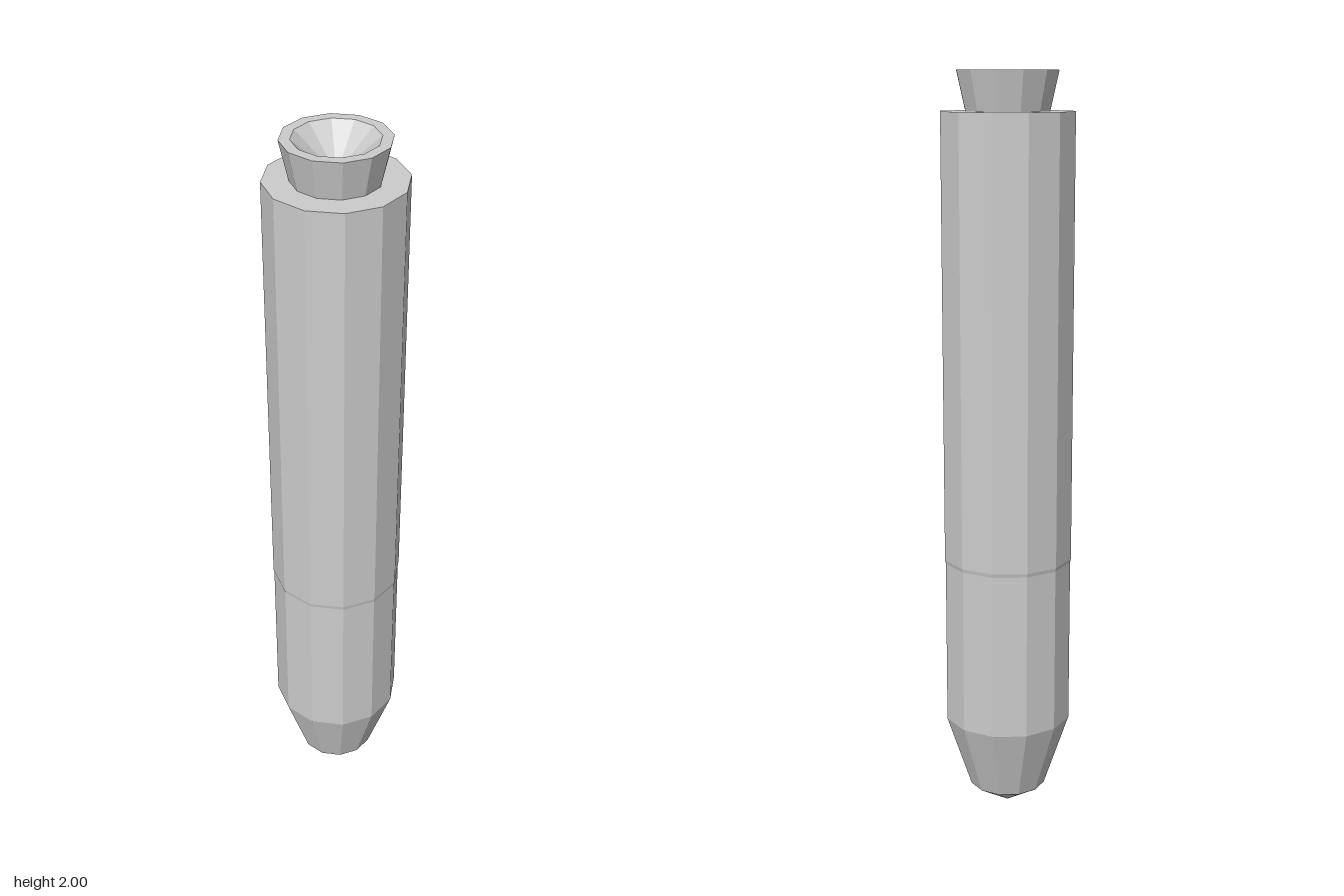
import * as THREE from 'three';

const SIDES = 12;
// profile radii are measured to the middle of a flat side
const TO_CORNER = 1 / Math.cos(Math.PI / SIDES);

const material = new THREE.MeshStandardMaterial({ color: 0xcccccc, flatShading: true });

// Faceted turned part from [radius, height] pairs, listed bottom to top on the outside
function turned(name, profile) {
  const points = profile.map(([r, y]) => new THREE.Vector2(r * TO_CORNER, y));
  const geometry = new THREE.LatheGeometry(points, SIDES, Math.PI / SIDES);
  const mesh = new THREE.Mesh(geometry, material);
  mesh.name = name;
  return mesh;
}

export function createModel() {
  const model = new THREE.Group();
  model.name = 'pointedRod';

  // short cone at the bottom
  model.add(turned('tip', [[0, 0], [0.101, 0.065]]));

  // tapered nose, long barrel and flat shoulder
  model.add(turned('barrel', [
    [0.101, 0.065], [0.167, 0.27], [0.167, 0.72], [0.169, 0.73], [0.169, 1.9], [0.1, 1.9],
  ]));

  // flared collar with a conical socket
  model.add(turned('collar', [
    [0.106, 1.9], [0.128, 2], [0.102, 2], [0, 1.91],
  ]));

  return model;
}
